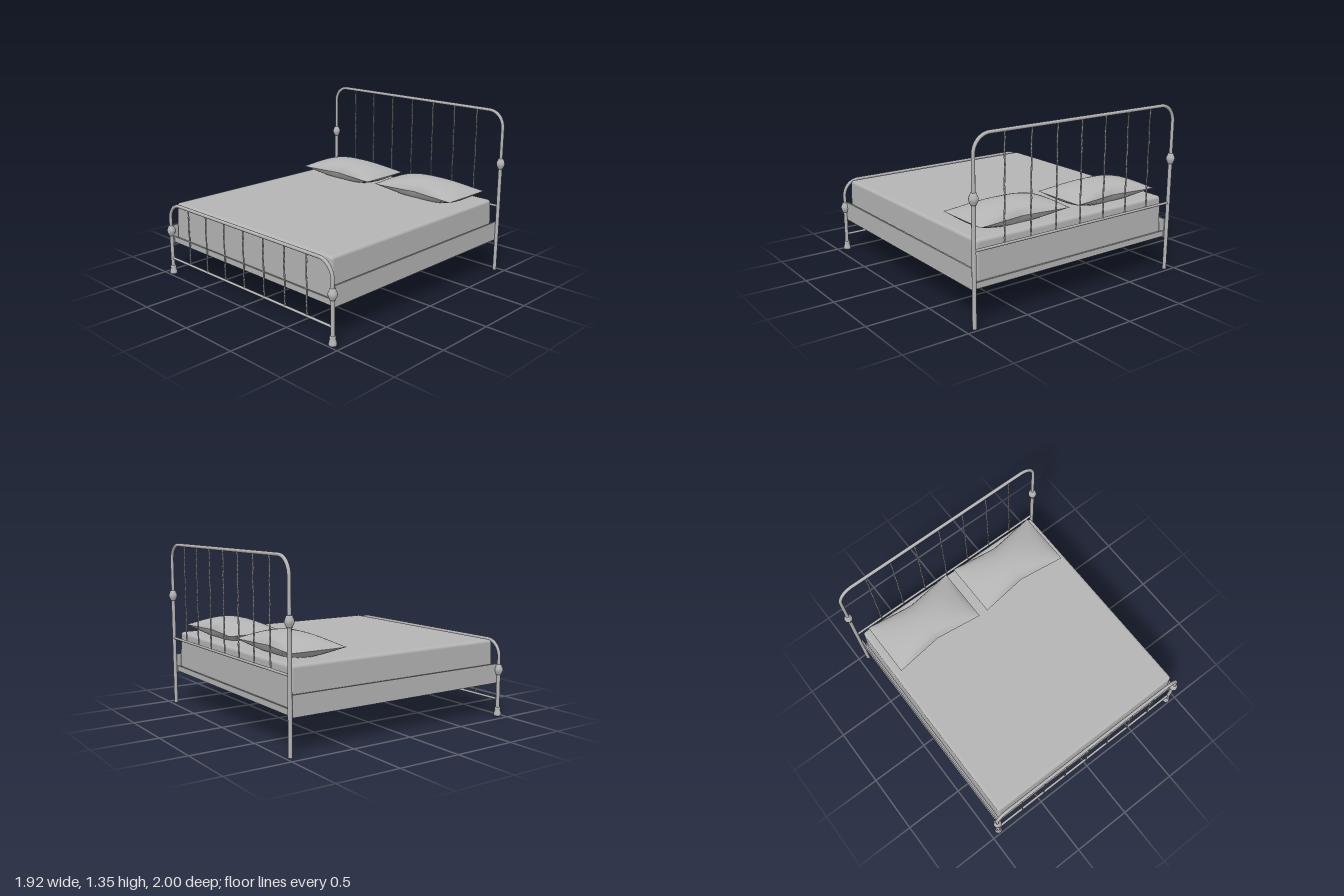
import * as THREE from 'three';
import { RoundedBoxGeometry } from 'three/addons/geometries/RoundedBoxGeometry.js';

const grey = new THREE.MeshStandardMaterial({ color: 0xb4b4b4 });
grey.name = 'plain grey';

const POST_X = 0.925;

function add(parent, name, geometry, x = 0, y = 0, z = 0) {
  const mesh = new THREE.Mesh(geometry, grey);
  mesh.name = name;
  mesh.position.set(x, y, z);
  parent.add(mesh);
  return mesh;
}

function lathe(points) {
  return new THREE.LatheGeometry(points.map(([r, y]) => new THREE.Vector2(r, y)), 16);
}

// Bent tube: two posts joined by a top bar with round corners
function archGeometry(top, r) {
  const v = (x, y) => new THREE.Vector3(x, y, 0);
  const k = r * 0.45;
  const path = new THREE.CurvePath();
  path.add(new THREE.LineCurve3(v(-POST_X, 0.01), v(-POST_X, top - r)));
  path.add(new THREE.CubicBezierCurve3(v(-POST_X, top - r), v(-POST_X, top - k), v(-POST_X + k, top), v(-POST_X + r, top)));
  path.add(new THREE.LineCurve3(v(-POST_X + r, top), v(POST_X - r, top)));
  path.add(new THREE.CubicBezierCurve3(v(POST_X - r, top), v(POST_X - k, top), v(POST_X, top - k), v(POST_X, top - r)));
  path.add(new THREE.LineCurve3(v(POST_X, top - r), v(POST_X, 0.01)));
  return new THREE.TubeGeometry(path, 180, 0.0135, 12);
}

// Square bar twisted about its length
function twistedBar(height) {
  const geo = new THREE.BoxGeometry(0.009, height, 0.009, 1, Math.round(height * 90), 1);
  const p = geo.attributes.position;
  for (let i = 0; i < p.count; i++) {
    const a = p.getY(i) * 28;
    const x = p.getX(i), z = p.getZ(i);
    p.setX(i, x * Math.cos(a) - z * Math.sin(a) + 0.0015 * Math.cos(a));
    p.setZ(i, x * Math.sin(a) + z * Math.cos(a) + 0.0015 * Math.sin(a));
  }
  geo.computeVertexNormals();
  return geo;
}

// Head or foot end: arch, lower bar, collars and twisted spindles
function bedEnd(name, z, top, bar, collarY) {
  const end = new THREE.Group();
  end.name = name;
  end.position.z = z;
  add(end, 'arch', archGeometry(top, 0.13));
  const rod = new THREE.CylinderGeometry(0.01, 0.01, POST_X * 2, 12);
  add(end, 'lowerBar', rod, 0, bar, 0).rotation.z = Math.PI / 2;

  const collar = lathe([[0.013, -0.042], [0.022, -0.04], [0.024, -0.03], [0.032, -0.014],
    [0.034, 0], [0.032, 0.014], [0.024, 0.03], [0.022, 0.04], [0.013, 0.042]]);
  for (const s of [-1, 1]) {
    add(end, 'collar', collar, s * POST_X, collarY, 0);
    // Thicker lower leg
    add(end, 'lowerLeg', new THREE.CylinderGeometry(0.0155, 0.0155, collarY, 14), s * POST_X, collarY / 2, 0);
  }
  const spindle = twistedBar(top - bar);
  for (let i = -3; i <= 3; i++) add(end, 'spindle', spindle, i * 0.225, (top + bar) / 2, 0);
  return end;
}

// Pillow: two bulging sheets that meet in a seam with pinched long edges
function pillowSheet(side) {
  const geo = new THREE.PlaneGeometry(2, 2, 32, 24);
  geo.rotateX(-side * Math.PI / 2);
  const p = geo.attributes.position;
  for (let i = 0; i < p.count; i++) {
    const u = p.getX(i), v = p.getZ(i);
    const puff = Math.pow(Math.max(0, 1 - u * u), 0.7) * Math.pow(Math.max(0, 1 - v * v), 0.55);
    const h = side > 0 ? 0.092 * puff : -Math.min(0.066, 0.1 * puff);
    const pinch = 0.05 * (1 - Math.abs(u));
    p.setXYZ(i, u * 0.393, h, v * (0.235 - pinch));
  }
  geo.computeVertexNormals();
  return geo;
}

export function createModel() {
  const bed = new THREE.Group();
  bed.name = 'bed';

  const head = bedEnd('headboard', -0.965, 1.337, 0.555, 0.912);
  const foot = bedEnd('footboard', 0.965, 0.604, 0.135, 0.372);
  bed.add(head, foot);

  // Flared caps under the front legs
  const cap = lathe([[0, 0], [0.028, 0], [0.031, 0.01], [0.028, 0.024], [0.021, 0.05],
    [0.024, 0.058], [0.022, 0.068], [0.015, 0.07]]);
  for (const s of [-1, 1]) add(foot, 'footCap', cap, s * POST_X, 0, 0);

  // Frame: tall side rails with inner ledges, angle irons at the ends
  const frame = new THREE.Group();
  frame.name = 'frame';
  bed.add(frame);
  for (const s of [-1, 1]) {
    add(frame, 'sideRail', new THREE.BoxGeometry(0.012, 0.155, 1.91), s * 0.911, 0.3425, 0);
    add(frame, 'sideLedge', new THREE.BoxGeometry(0.06, 0.01, 1.9), s * 0.875, 0.302, 0);
    add(frame, 'endRail', new THREE.BoxGeometry(1.81, 0.046, 0.01), 0, 0.298, s * 0.945);
    add(frame, 'endLedge', new THREE.BoxGeometry(1.81, 0.01, 0.045), 0, 0.302, s * 0.92);
  }
  for (const z of [-0.56, 0, 0.56]) {
    add(frame, 'crossSlat', new THREE.BoxGeometry(1.8, 0.03, 0.045), 0, 0.291, z);
  }

  // Mattress, slightly narrower at the top
  const mattressGeo = new RoundedBoxGeometry(1.77, 0.305, 1.865, 4, 0.025);
  const p = mattressGeo.attributes.position;
  for (let i = 0; i < p.count; i++) {
    const k = 1 - p.getY(i) * 0.03;
    p.setX(i, p.getX(i) * k);
    p.setZ(i, p.getZ(i) * k);
  }
  add(bed, 'mattress', mattressGeo, 0, 0.459, 0);

  for (const s of [-1, 1]) {
    const pillow = new THREE.Group();
    pillow.name = s > 0 ? 'leftPillow' : 'rightPillow';
    pillow.position.set(s * 0.432, 0.677, -0.667);
    add(pillow, 'pillowTop', pillowSheet(1));
    add(pillow, 'pillowBottom', pillowSheet(-1));
    bed.add(pillow);
  }
  return bed;
}
